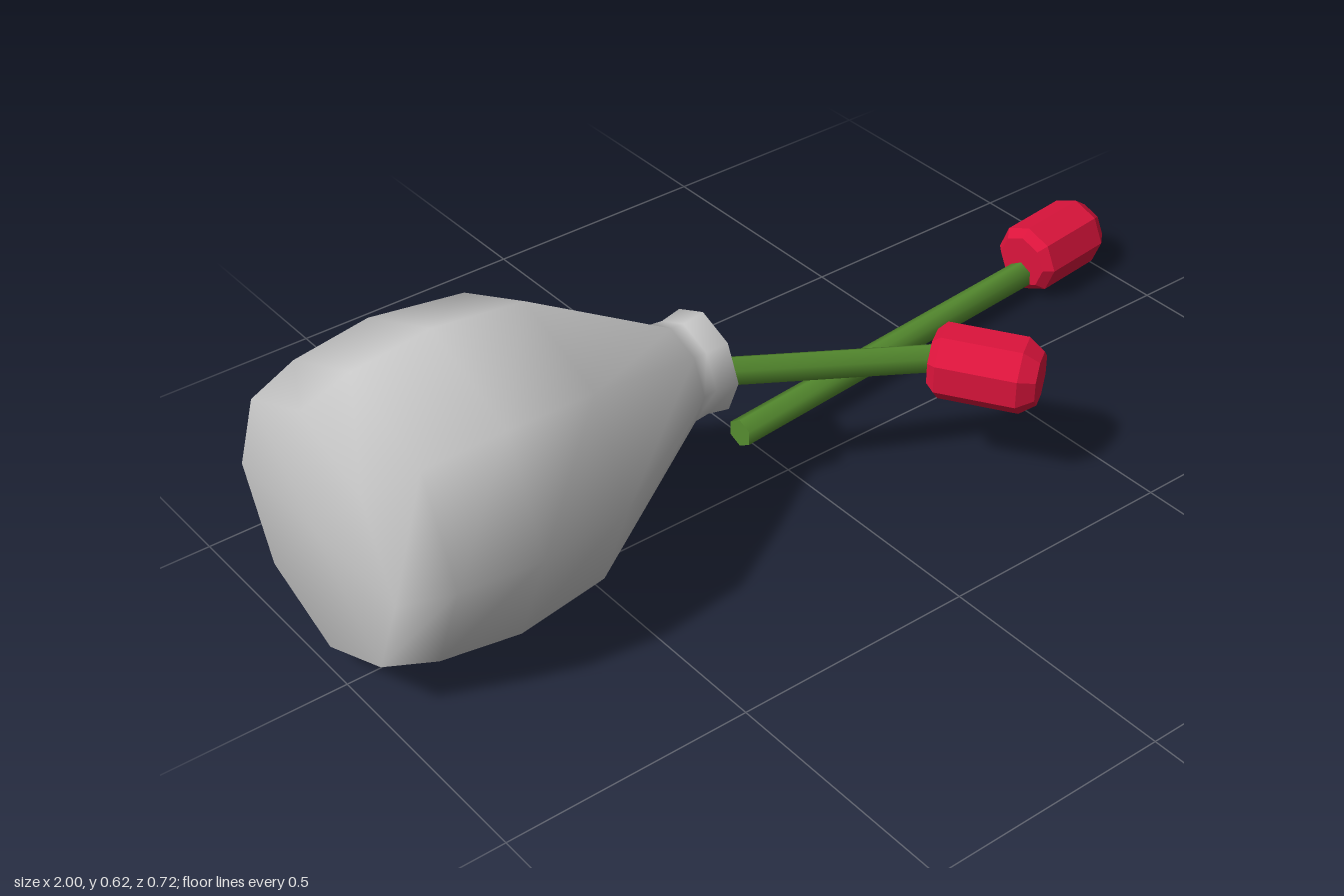
import * as THREE from 'three';
import { toCreasedNormals } from 'three/addons/utils/BufferGeometryUtils.js';

// Closed solid from regular polygon rings strung along a path; rings keep one axis upright.
function loft(centres, radii, sides, roll = 0) {
  const pos = [], index = [], n = centres.length;
  const worldUp = new THREE.Vector3(0, 1, 0);
  centres.forEach((c, i) => {
    const t = centres[Math.min(i + 1, n - 1)].clone().sub(centres[Math.max(i - 1, 0)]).normalize();
    const side = new THREE.Vector3().crossVectors(t, worldUp).normalize();
    const up = new THREE.Vector3().crossVectors(side, t);
    for (let j = 0; j < sides; j++) {
      const a = roll + (j / sides) * Math.PI * 2;
      const p = c.clone()
        .addScaledVector(up, Math.cos(a) * radii[i])
        .addScaledVector(side, Math.sin(a) * radii[i]);
      pos.push(p.x, p.y, p.z);
    }
  });
  const first = n * sides, last = first + 1;
  pos.push(...centres[0].toArray(), ...centres[n - 1].toArray());
  for (let j = 0; j < sides; j++) {
    const k = (j + 1) % sides;
    for (let i = 0; i < n - 1; i++) {
      const a = i * sides + j, b = i * sides + k;
      index.push(a, b, a + sides, b, b + sides, a + sides);
    }
    index.push(first, k, j, last, (n - 1) * sides + j, (n - 1) * sides + k);
  }
  const g = new THREE.BufferGeometry();
  g.setAttribute('position', new THREE.Float32BufferAttribute(pos, 3));
  g.setIndex(index);
  g.computeVertexNormals();
  return g;
}

export function createModel() {
  const group = new THREE.Group();
  const grey = new THREE.MeshStandardMaterial({ color: 0xcccccc });
  const green = new THREE.MeshStandardMaterial({ color: 0x558b2f });
  const red = new THREE.MeshStandardMaterial({ color: 0xdc143c, flatShading: true });
  const V = (x, y, z) => new THREE.Vector3(x, y, z);

  // Vase lying on its side: outer wall, rim, then inner wall back to the floor
  const profile = [
    [0, -1], [0.255, -1], [0.29, -0.9], [0.31, -0.74], [0.287, -0.55],
    [0.1, -0.24], [0.097, -0.21], [0.105, -0.165],
    [0.088, -0.165], [0.082, -0.22], [0.265, -0.55], [0.29, -0.74], [0.235, -0.97], [0, -0.97],
  ].map(([r, h]) => new THREE.Vector2(r, h));
  const vase = new THREE.Mesh(new THREE.LatheGeometry(profile, 8), grey);
  vase.name = 'vase';
  vase.rotation.z = -Math.PI / 2;
  vase.position.set(0, 0.31, -0.047);
  group.add(vase);

  // Flower: a six-sided stem and a chamfered eight-sided bud
  function addFlower(name, stemPath, budStart, budDir, roll) {
    const flower = new THREE.Group();
    flower.name = name;
    const stemGeo = toCreasedNormals(loft(stemPath, stemPath.map(() => 0.03), 6), 1.25);
    const stem = new THREE.Mesh(stemGeo, green);
    stem.name = 'stem';
    const dir = budDir.normalize();
    const rings = [0, 0.018, 0.178, 0.21].map((d) => budStart.clone().addScaledVector(dir, d));
    const bud = new THREE.Mesh(loft(rings, [0.058, 0.076, 0.076, 0.053], 8, roll), red);
    bud.name = 'bud';
    flower.add(stem, bud);
    group.add(flower);
  }

  // Flower still in the vase, bending at the mouth
  addFlower('flowerInVase',
    [V(-0.58, 0.297, -0.014), V(-0.19, 0.297, -0.014), V(-0.14, 0.292, -0.008), V(0.25, 0.25, 0.17)],
    V(0.232, 0.249, 0.157), V(0.55, -0.02, 0.83), Math.PI / 8);

  // Flower lying on the ground
  addFlower('fallenFlower',
    [V(-0.053, 0.065, -0.085), V(0.82, 0.05, -0.182)],
    V(0.789, 0.083, -0.177), V(1, 0, -0.12), 0);

  return group;
}
